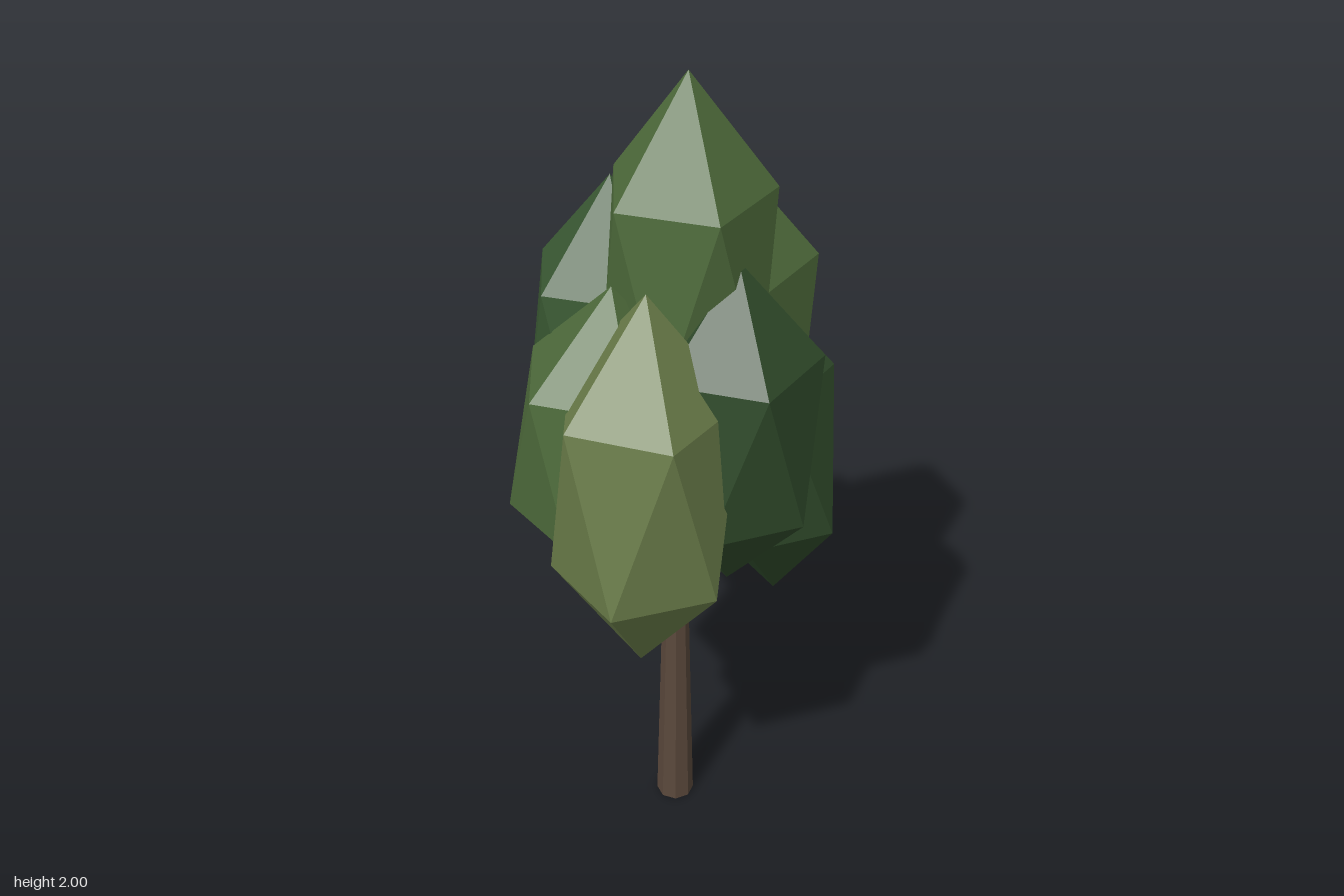
import * as THREE from 'three';

// Leaf clump: a stretched icosahedron standing on one corner, leaning from base to apex
function clumpGeometry(apex, base, radius, turn = 0) {
  const a = new THREE.Vector3(...apex), b = new THREE.Vector3(...base);
  const ring = (t, offset) => Array.from({ length: 5 }, (_, i) => {
    const angle = THREE.MathUtils.degToRad(turn + offset + i * 72);
    const p = b.clone().lerp(a, t);
    p.x += radius * Math.cos(angle);
    p.z += radius * Math.sin(angle);
    return p;
  });
  const upper = ring(0.724, 0), lower = ring(0.276, 36);
  const points = [];
  for (let i = 0; i < 5; i++) {
    const j = (i + 1) % 5;
    points.push(a, upper[j], upper[i]);
    points.push(upper[i], upper[j], lower[i]);
    points.push(lower[i], upper[j], lower[j]);
    points.push(b, lower[i], lower[j]);
  }
  const geometry = new THREE.BufferGeometry().setFromPoints(points);
  geometry.computeVertexNormals();
  return geometry;
}

const leafMaterial = (color) => new THREE.MeshStandardMaterial({ color, flatShading: true });

export function createModel() {
  const tree = new THREE.Group();
  tree.name = 'tree';

  // Tapered trunk reaching up into the crown
  const trunk = new THREE.Mesh(
    new THREE.CylinderGeometry(0.016, 0.047, 1.3, 8),
    leafMaterial(0x5a483b)
  );
  trunk.name = 'trunk';
  trunk.position.set(0.007, 0.65, 0.025);
  tree.add(trunk);

  // Crown of overlapping leaf clumps
  const olive = leafMaterial(0x687a48);
  const green = leafMaterial(0x4e6b3b);
  const deep = leafMaterial(0x3a5933);
  const dark = leafMaterial(0x2f4a2a);
  const crown = new THREE.Group();
  crown.name = 'crown';
  const clumps = [
    ['topClump', [0.03, 2.0, 0.03], [0.03, 1.08, 0.03], 0.188, 0, green],
    ['frontClump', [-0.06, 1.6, 0.21], [-0.08, 0.72, 0.32], 0.2, 2, olive],
    ['backClump', [-0.03, 1.56, -0.17], [-0.08, 0.73, -0.28], 0.21, -4, olive],
    ['backLeftClump', [0.13, 1.75, -0.11], [0.13, 0.88, -0.13], 0.195, 0, green],
    ['frontLeftClump', [0.13, 1.64, 0.15], [0.12, 0.83, 0.17], 0.19, 0, dark],
    ['leftClump', [0.15, 1.56, 0.04], [0.24, 0.7, 0.05], 0.178, 0, dark],
    ['frontRightClump', [-0.13, 1.58, 0.14], [-0.19, 0.81, 0.13], 0.195, 0, green],
    ['backRightClump', [-0.13, 1.73, -0.07], [-0.16, 0.9, -0.06], 0.178, -1, deep],
  ];
  for (const [name, apex, base, radius, turn, material] of clumps) {
    const clump = new THREE.Mesh(clumpGeometry(apex, base, radius, turn), material);
    clump.name = name;
    crown.add(clump);
  }
  tree.add(crown);
  return tree;
}
